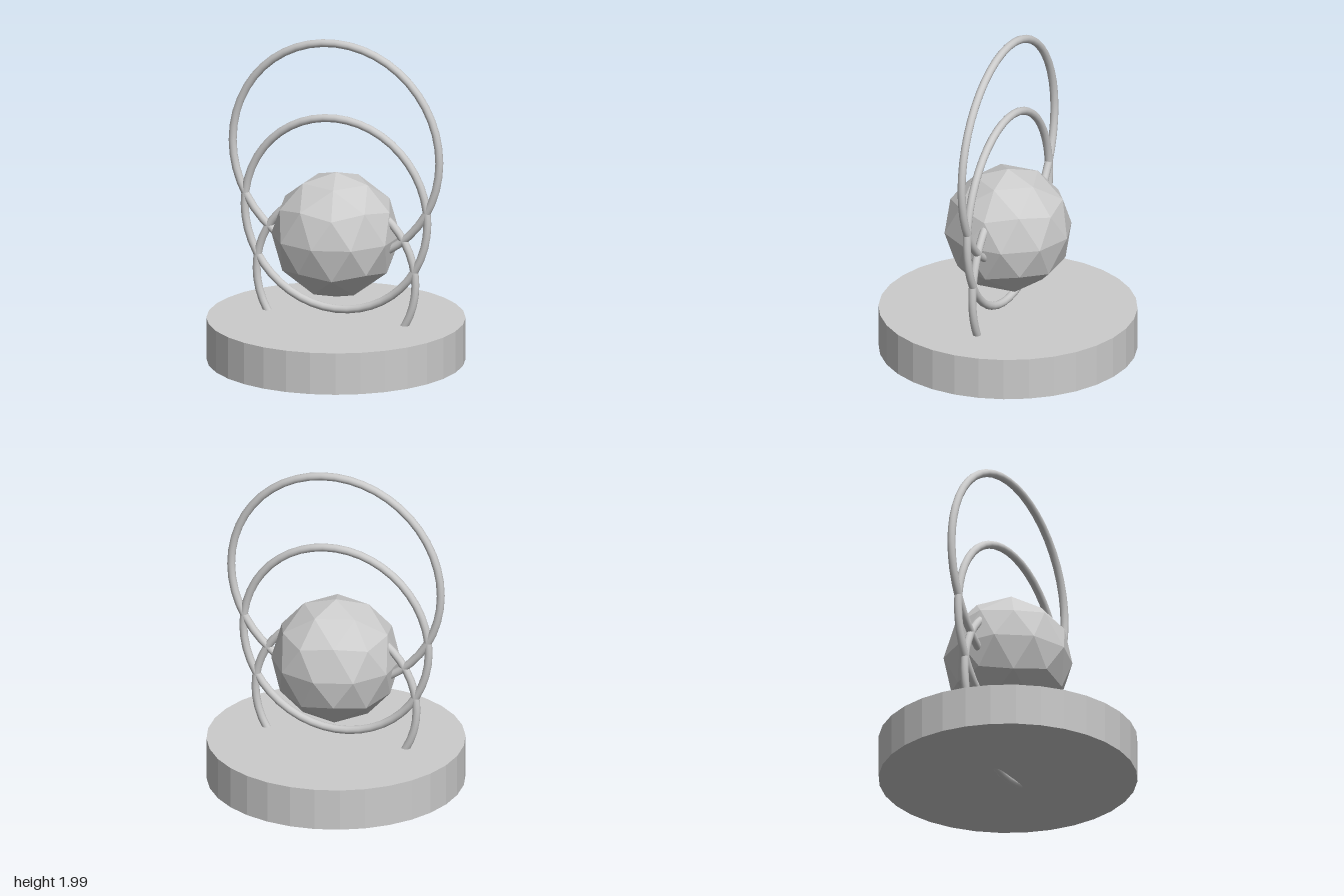
import * as THREE from 'three';

export function createModel() {
  const model = new THREE.Group();
  const flat = new THREE.MeshStandardMaterial({ color: 0xcccccc, flatShading: true });
  const smooth = new THREE.MeshStandardMaterial({ color: 0xcccccc });

  const add = (name, geometry, material, y) => {
    const mesh = new THREE.Mesh(geometry, material);
    mesh.name = name;
    mesh.position.y = y;
    model.add(mesh);
  };

  // Round faceted base
  add('base', new THREE.CylinderGeometry(0.768, 0.768, 0.255, 32), flat, 0.16);

  // Low-poly ball, turned so that one of its corners points straight up
  const ball = new THREE.IcosahedronGeometry(0.384, 1);
  ball.rotateX(-Math.atan2((1 + Math.sqrt(5)) / 2, 1));
  ball.rotateY(Math.PI / 2);
  add('ball', ball, flat, 0.8);

  // Three upright rings in one plane, growing toward the top
  const tube = 0.024;
  const rings = [
    ['lowerRing', 0.51, 0.54],
    ['middleRing', 0.587, 0.927],
    ['upperRing', 0.664, 1.312],
  ];
  for (const [name, radius, y] of rings) {
    add(name, new THREE.TorusGeometry(radius, tube, 12, 48), smooth, y);
  }

  return model;
}
